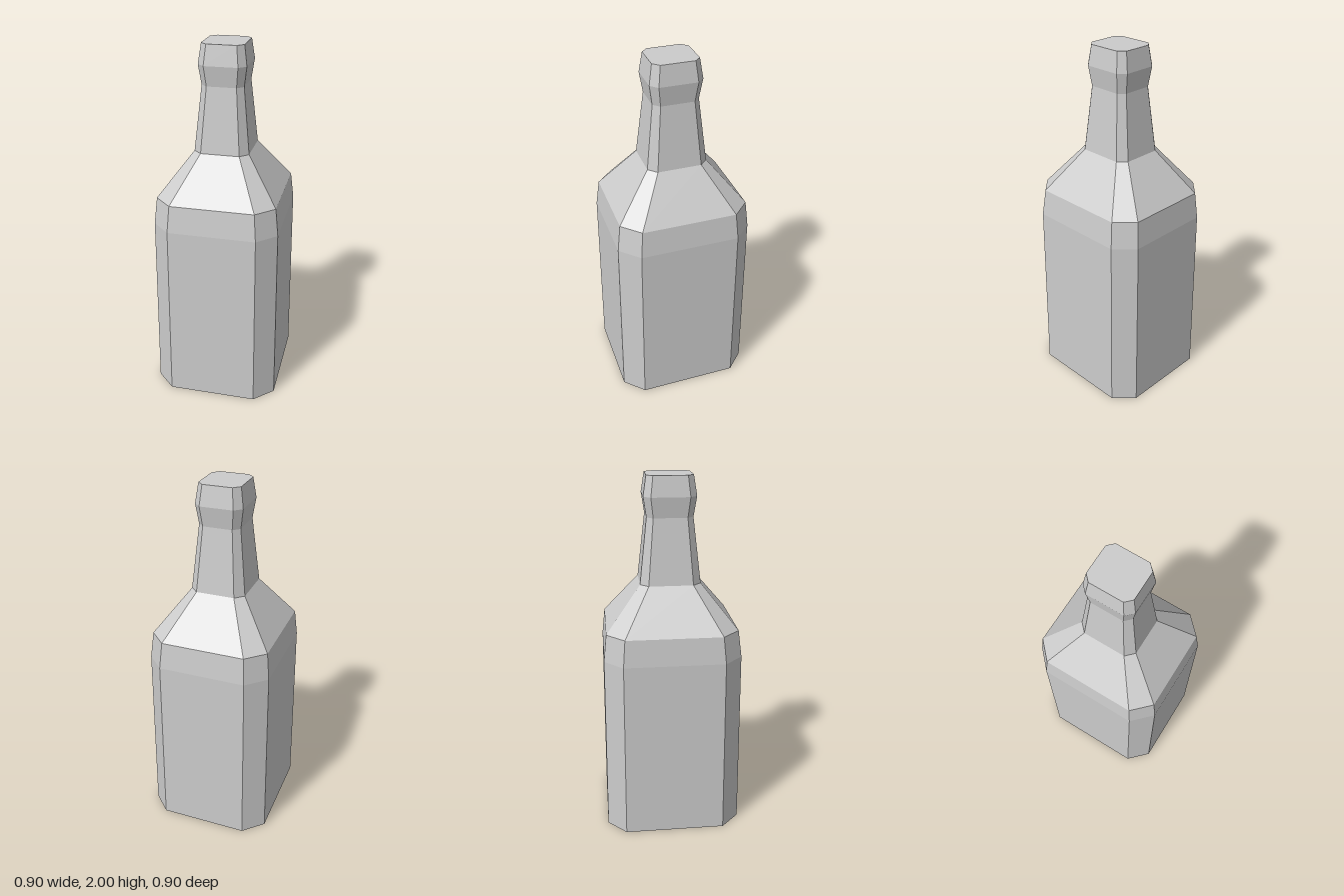
import * as THREE from 'three';

// Cut-corner square cross-section as [x, z], clockwise seen from above
const OUTLINE = [
  [-0.064, -0.452], [0.085, -0.453], [0.446, -0.11], [0.45, 0.035],
  [0.061, 0.446], [-0.086, 0.45], [-0.447, 0.109], [-0.452, -0.04],
];

// Ring of the outline scaled by s at height y, with a slight z shift
const ring = ([y, s, dz]) => OUTLINE.map(([x, z]) => [x * s, y, z * s + dz]);

// Flat-shaded loft through [height, scale, zShift] levels
function loft(name, levels, { bottom = false, top = false } = {}) {
  const rings = levels.map(ring);
  const n = OUTLINE.length;
  const pos = [];
  const tri = (...pts) => pts.forEach((p) => pos.push(...p));
  for (let i = 0; i < rings.length - 1; i++) {
    const lo = rings[i], hi = rings[i + 1];
    for (let k = 0; k < n; k++) {
      const j = (k + 1) % n;
      tri(lo[j], lo[k], hi[k]);
      tri(lo[j], hi[k], hi[j]);
    }
  }
  const first = rings[0], last = rings[rings.length - 1];
  for (let k = 1; k < n - 1; k++) {
    if (bottom) tri(first[0], first[k], first[k + 1]);
    if (top) tri(last[0], last[k + 1], last[k]);
  }
  const geo = new THREE.BufferGeometry();
  geo.setAttribute('position', new THREE.Float32BufferAttribute(pos, 3));
  geo.computeVertexNormals();
  const mesh = new THREE.Mesh(
    geo, new THREE.MeshStandardMaterial({ color: 0xcccccc, flatShading: true }));
  mesh.name = name;
  return mesh;
}

export function createModel() {
  const bottle = new THREE.Group();
  bottle.name = 'bottle';

  // Shared levels where the parts meet
  const base = [0, 1, 0];
  const bodyTop = [1.03, 0.98, -0.001];
  const shoulderEdge = [1.18, 0.935, -0.003];
  const neckBase = [1.42, 0.43, -0.004];
  const neckTop = [1.78, 0.326, -0.004];
  const lipMiddle = [1.89, 0.37, -0.004];
  const rim = [2, 0.326, -0.004];

  bottle.add(
    loft('body', [base, bodyTop, shoulderEdge], { bottom: true }),
    loft('shoulder', [shoulderEdge, neckBase]),
    loft('neck', [neckBase, neckTop]),
    loft('lip', [neckTop, lipMiddle, rim], { top: true }),
  );
  return bottle;
}
